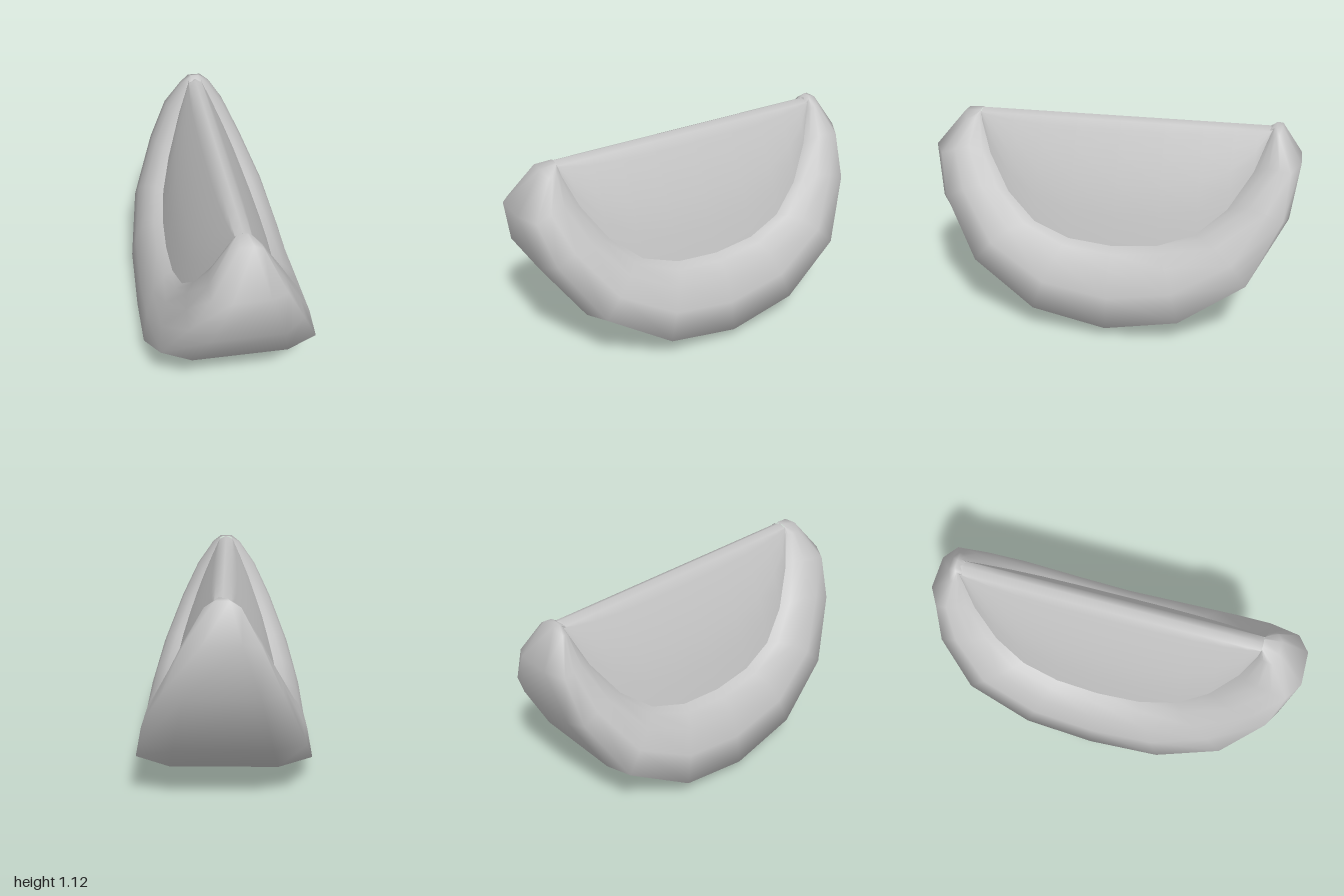
import * as THREE from 'three';

// Stations along the arc, front tip to back tip:
// outer [z, y, half width], side edge [z, y, half width], inner crease [z, y]
const STATIONS = [
  [[0.75, 1.1, 0.02], [0.75, 1.095, 0.03], [0.75, 1.09]],
  [[0.84, 1.09, 0.035], [0.82, 1.055, 0.085], [0.74, 1.04]],
  [[1.0, 0.9, 0.09], [0.94, 0.88, 0.18], [0.68, 0.88]],
  [[0.945, 0.63, 0.18], [0.89, 0.67, 0.28], [0.56, 0.69]],
  [[0.74, 0.32, 0.25], [0.7, 0.36, 0.405], [0.4, 0.55]],
  [[0.39, 0.09, 0.29], [0.36, 0.135, 0.47], [0.2, 0.48]],
  [[-0.04, 0, 0.29], [-0.04, 0.058, 0.475], [-0.04, 0.46]],
  [[-0.46, 0.09, 0.29], [-0.43, 0.135, 0.47], [-0.28, 0.48]],
  [[-0.79, 0.33, 0.25], [-0.77, 0.36, 0.41], [-0.48, 0.55]],
  [[-0.96, 0.66, 0.18], [-0.93, 0.68, 0.28], [-0.64, 0.69]],
  [[-1.0, 0.935, 0.09], [-0.95, 0.91, 0.18], [-0.76, 0.88]],
  [[-0.89, 1.11, 0.035], [-0.875, 1.075, 0.085], [-0.82, 1.04]],
  [[-0.86, 1.117, 0.02], [-0.855, 1.105, 0.035], [-0.84, 1.09]],
  [[-0.825, 1.09, 0.02], [-0.825, 1.088, 0.03], [-0.825, 1.085]],
];

// Half width of the wedge face at height y
const wedge = (y) => 0.035 + (1.095 - y) * 0.4;

// Skin a list of equally long cross-sections
function loft(rows) {
  const n = rows[0].length;
  const index = [];
  for (let i = 0; i < rows.length - 1; i++) {
    for (let j = 0; j < n - 1; j++) {
      const a = i * n + j, b = a + n;
      index.push(a, b, a + 1, b, b + 1, a + 1);
    }
  }
  const g = new THREE.BufferGeometry();
  g.setAttribute('position', new THREE.Float32BufferAttribute(rows.flat(2), 3));
  g.setIndex(index);
  g.computeVertexNormals();
  return g;
}

const mirrorX = ([x, y, z]) => [-x, y, z];

// Rind section: flat outer band, side edge, rounded rim, crease, mirrored
function rindSection([outer, side, crease]) {
  const c = new THREE.Vector3(wedge(crease[1]), crease[1], crease[0]);
  const s = new THREE.Vector3(side[2], side[1], side[0]);
  const d = c.distanceTo(s);
  const rim = (t, bulge) => {
    const p = c.clone().lerp(s, t);
    return [p.x + 0.1 * d * bulge, p.y + 0.15 * d * bulge, p.z];
  };
  const half = [
    [outer[2], outer[1], outer[0]], s.toArray(),
    rim(0.7, 0.7), rim(0.4, 1), rim(0.15, 0.55), c.toArray(),
  ];
  return [...half.map(mirrorX).reverse(), ...half];
}

// Flesh section: gently convex faces rising to a rounded ridge
function fleshSection([, , [z, y]]) {
  const rise = 1.085 - y;
  const half = [0, 0.25, 0.5, 0.75, 0.92, 1].map((t) => {
    const h = y + rise * t;
    return [wedge(h) + 0.05 * rise * Math.sin(Math.PI * t), h, z];
  });
  return [...half, [0, 1.102, z], ...half.map(mirrorX).reverse()];
}

export function createModel() {
  const model = new THREE.Group();
  model.name = 'slice';
  const grey = new THREE.MeshStandardMaterial({ color: 0xc4c4c4 });
  grey.name = 'light grey';

  const rind = new THREE.Mesh(loft(STATIONS.map(rindSection)), grey);
  rind.name = 'rind';
  const flesh = new THREE.Mesh(loft(STATIONS.map(fleshSection)), grey);
  flesh.name = 'flesh';

  model.add(rind, flesh);
  return model;
}
